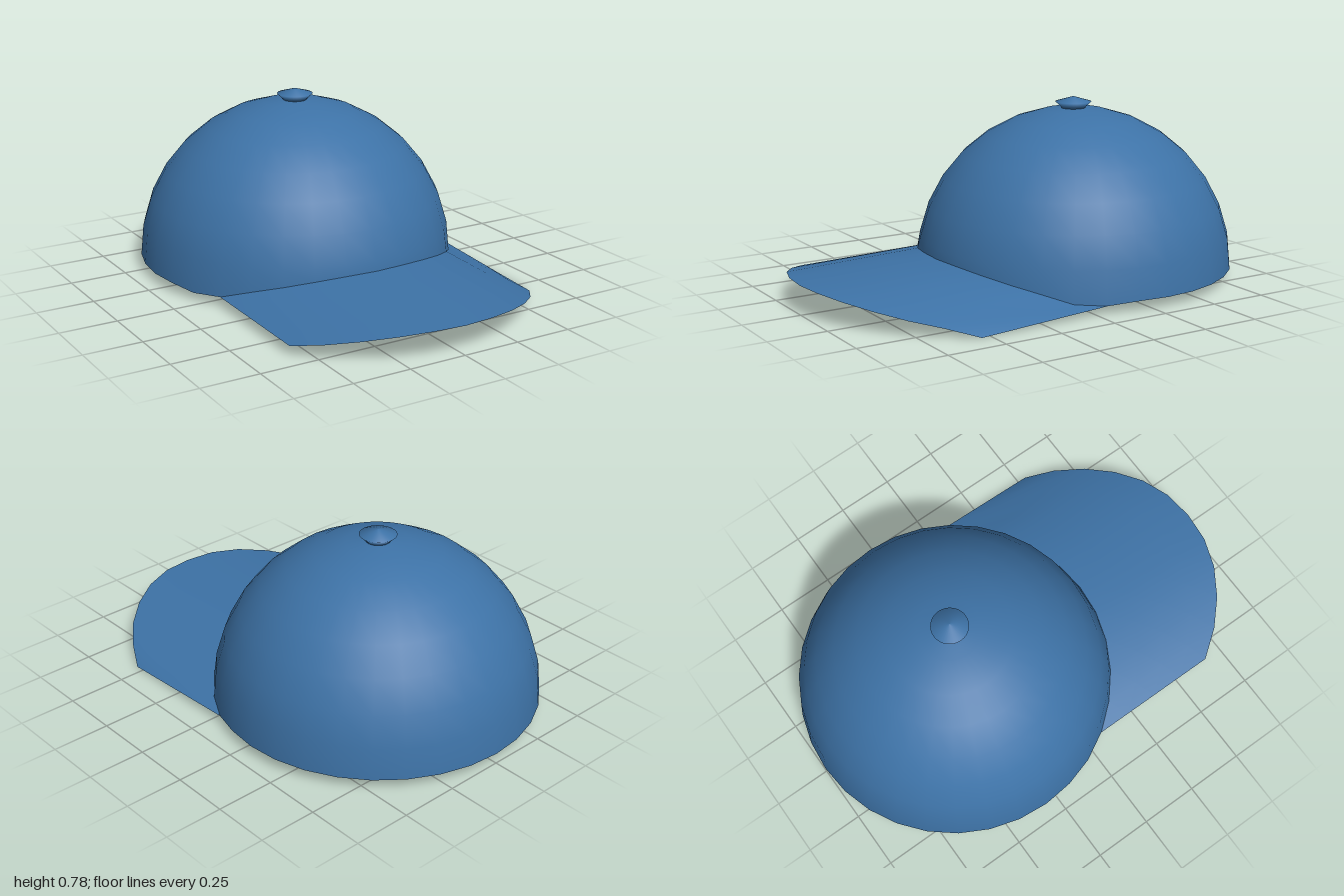
import * as THREE from 'three';

const R = 0.69;         // dome radius
const BASE = 0.045;     // height of the rim
const CZ = -0.31;       // dome centre in z
const SEG = 32;         // sides around the dome
const STEP = (Math.PI * 2) / SEG;

// Heights of the arched front, by steps away from the centre line
const seamY = [0.145, 0.143, 0.13, 0.108, 0.08, 0.042, 0.034];
const edgeY = [0.122, 0.121, 0.11, 0.09, 0.065, 0.038, 0];
const reach = [0.62, 0.62, 0.615, 0.605, 0.595, 0.585, 0.585];

export function createModel() {
  const group = new THREE.Group();
  const cloth = new THREE.MeshStandardMaterial({ color: 0x3d72a6, side: THREE.DoubleSide });

  const add = (name, geometry) => {
    const mesh = new THREE.Mesh(geometry, cloth);
    mesh.name = name;
    group.add(mesh);
  };

  // Crown: open half sphere whose front rim is lifted to meet the brim
  const profile = [];
  for (let j = 0; j <= 8; j++) {
    const a = j * STEP;
    profile.push(new THREE.Vector2(j === 8 ? 0 : R * Math.cos(a), BASE + R * Math.sin(a)));
  }
  const crown = new THREE.LatheGeometry(profile, SEG);
  for (let i = 0; i <= SEG; i++) {
    const k = Math.min(i, SEG - i);
    if (k < seamY.length) crown.attributes.position.setY(i * profile.length, seamY[k]);
  }
  crown.translate(0, 0, CZ);
  add('crown', crown);

  // Brim: thin curved sheet pulled forward from the rim, one step wider on the left
  const position = [], index = [];
  const first = -5, last = 6, rows = 4;
  for (let k = first; k <= last; k++) {
    const m = Math.abs(k);
    for (let r = 0; r <= rows; r++) {
      const t = r / rows;
      position.push(
        R * Math.sin(k * STEP),
        THREE.MathUtils.lerp(seamY[m], edgeY[m], t),
        CZ + R * Math.cos(k * STEP) + reach[m] * t
      );
      if (k < last && r < rows) {
        const a = (k - first) * (rows + 1) + r, b = a + rows + 1;
        index.push(a, a + 1, b, b, a + 1, b + 1);
      }
    }
  }
  const brim = new THREE.BufferGeometry();
  brim.setAttribute('position', new THREE.Float32BufferAttribute(position, 3));
  brim.setIndex(index);
  brim.computeVertexNormals();
  add('brim', brim);

  // Button: flared knob with a shallow pointed top
  const knob = [[0.05, 0.728], [0.055, 0.735], [0.078, 0.757], [0, 0.78]]
    .map(([x, y]) => new THREE.Vector2(x, y));
  const button = new THREE.LatheGeometry(knob, SEG);
  button.translate(0, 0, CZ + 0.005);
  add('button', button);

  return group;
}
